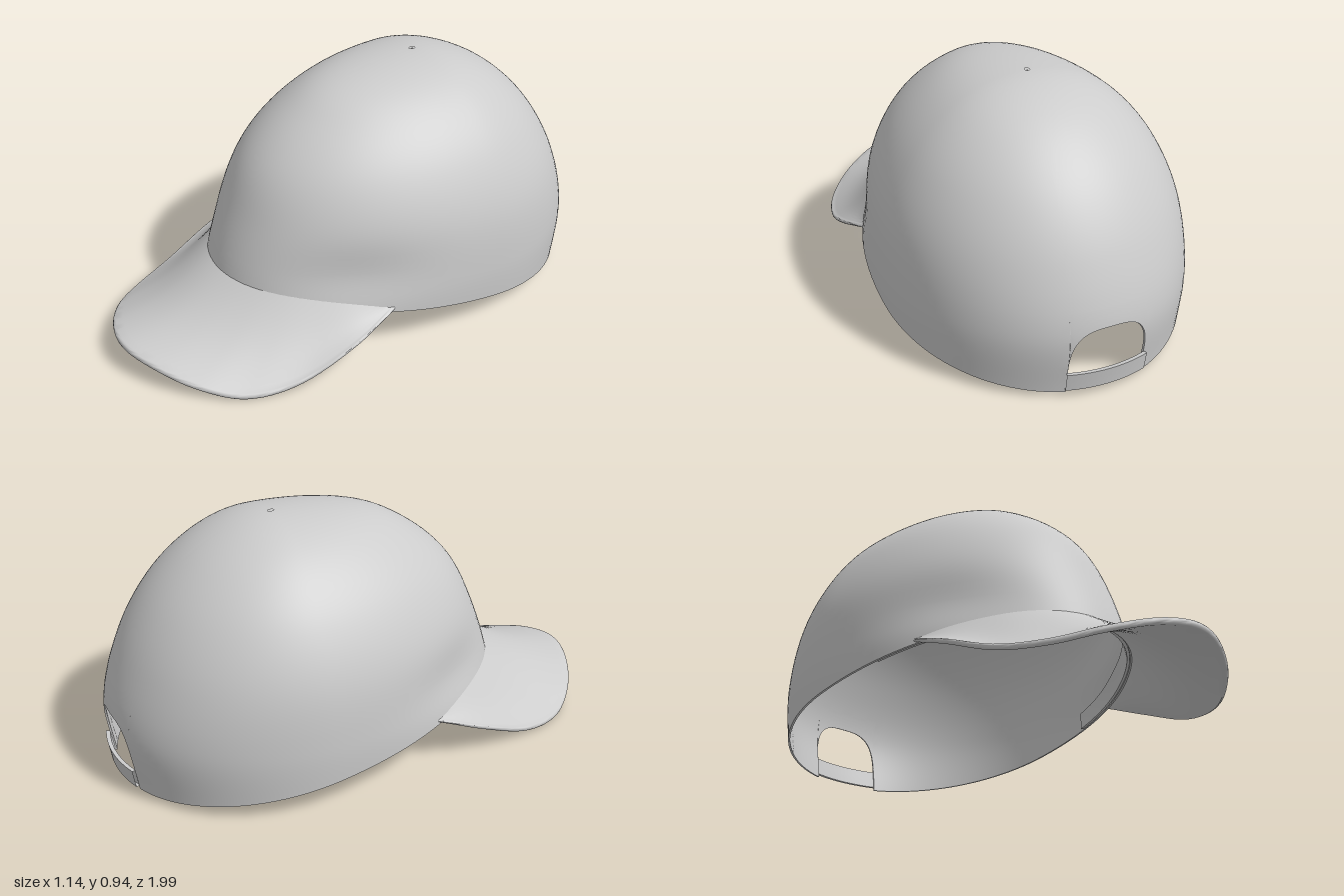
import * as THREE from 'three';
import { toCreasedNormals } from 'three/addons/utils/BufferGeometryUtils.js';

const TOP = 0.945, MID_Z = -0.33, HOLE = 0.265;
const material = new THREE.MeshStandardMaterial({ color: 0xcccccc, side: THREE.DoubleSide });
const V = (x, y, z) => new THREE.Vector3(x, y, z);
const range = (n, from, to) => Array.from({ length: n + 1 }, (_, i) => from + (to - from) * i / n);

// Smooth sheet from a list of cross-section paths of equal length
function sheet(name, sections) {
  const rows = sections[0].length, pos = [], index = [];
  sections.forEach(s => s.forEach(p => pos.push(p.x, p.y, p.z)));
  for (let j = 0; j < sections.length - 1; j++) {
    for (let i = 0; i < rows - 1; i++) {
      const a = j * rows + i, b = a + rows;
      index.push(a, b, b + 1, a, b + 1, a + 1);
    }
  }
  const g = new THREE.BufferGeometry();
  g.setAttribute('position', new THREE.Float32BufferAttribute(pos, 3));
  g.setIndex(index);
  const mesh = new THREE.Mesh(toCreasedNormals(g, 0.7), material);
  mesh.name = name;
  return mesh;
}

// Crown radii (side, front, back) at even steps from base to apex
const radii = new THREE.CatmullRomCurve3([
  V(0.56, 0.935, 0.636), V(0.57, 0.905, 0.664), V(0.546, 0.826, 0.6), V(0.465, 0.726, 0.49),
  V(0.343, 0.56, 0.342), V(0.192, 0.355, 0.172), V(0, 0, 0),
], false, 'catmullrom', 0.5);

const phiOf = y => Math.asin(y / TOP);

// Point on the crown: a = angle from the front, phi = elevation, off = outward offset
function crownPoint(a, phi, off = 0) {
  const r = radii.getPoint(phi / (Math.PI / 2));
  const y = TOP * Math.sin(phi);
  const turn = Math.abs(Math.atan2(Math.sin(a), Math.cos(a)));
  const dent = 1 - 0.04 * Math.exp(-(((turn - 0.85) / 0.35) ** 2) - ((y - 0.33) / 0.12) ** 2);
  const o = off * Math.cos(phi);
  return V(
    (r.x * dent + o) * Math.sin(a),
    y + off * Math.sin(phi),
    MID_Z + ((Math.cos(a) > 0 ? r.y : r.z) * dent + o) * Math.cos(a));
}

// Sloping lower edge of the crown
function rimY(a) {
  const c = Math.cos(a);
  return 0.01 + 0.155 * (MID_Z + (c > 0 ? 0.9 : 0.62) * c + 0.95);
}

// Crown shell with an arched opening at the back
function makeCrown() {
  const split = phiOf(0.34);
  const section = (a, y0) => {
    const phis = [...range(12, phiOf(y0), split), ...range(32, split, Math.PI / 2 - 0.012).slice(1)];
    return [
      ...phis.slice().reverse().map(p => crownPoint(a, p, -0.008)),
      ...phis.map(p => crownPoint(a, p)),
    ];
  };
  const arch = range(28, -Math.PI / 2, Math.PI / 2).map(t => {
    const d = Math.sin(t);
    const h = Math.cbrt(Math.max(0, 1 - Math.abs(d) ** 3));
    return section(Math.PI + HOLE * d, 0.09 + 0.18 * h);
  });
  const wall = range(100, HOLE - Math.PI, Math.PI - HOLE).map(a => section(a, rimY(a)));
  return sheet('crown', [...wall, ...arch, wall[0]]);
}

// Closed band that follows the crown between two heights
function makeBand(name, from, to, low, high, inner, outer) {
  return sheet(name, range(48, from, to).map(a => {
    const phis = range(4, phiOf(low(a)), phiOf(high(a)));
    const path = [
      ...phis.slice().reverse().map(p => crownPoint(a, p, inner)),
      ...phis.map(p => crownPoint(a, p, outer)),
    ];
    return [...path, path[0].clone()];
  }));
}

// Curved brim: lofted from the crown to a drooping outer edge
function makeBrim() {
  const half = [
    V(0.15, 0.1, 0.948), V(0.30, 0.059, 0.853), V(0.415, 0.025, 0.715),
    V(0.48, 0.045, 0.53), V(0.508, 0.128, 0.31), V(0.486, 0.2, 0.12),
  ];
  const edge = new THREE.CatmullRomCurve3([
    ...half.map(p => V(-p.x, p.y, p.z)).reverse(), V(0, 0.115, 0.986), ...half,
  ], false, 'catmullrom', 0.5);
  const sections = range(80, -1, 1).map(u => {
    const inner = crownPoint(u * 1.03, phiOf(0.272 - 0.068 * Math.abs(u) ** 3), -0.004);
    const outer = edge.getPoint((u + 1) / 2);
    const top = range(14, 0, 1).map(v => {
      const p = inner.clone().lerp(outer, v);
      p.y -= 0.034 * Math.sin(Math.PI * v) * (1 - u * u);
      return p;
    });
    const thick = 0.027 - 0.012 * u * u;
    const bottom = top.map(p => V(p.x, p.y - thick, p.z));
    // Rounded lip between the lower and upper faces
    const out = outer.clone().sub(inner).setY(0).normalize();
    const lip = range(6, -Math.PI / 2, Math.PI / 2).slice(1, -1).map(t => outer.clone()
      .addScaledVector(out, 0.012 * Math.cos(t))
      .add(V(0, thick * (Math.sin(t) - 1) / 2, 0)));
    return [...bottom, ...lip, ...top.reverse()];
  });
  return sheet('brim', sections);
}

export function createModel() {
  const cap = new THREE.Group();
  cap.name = 'cap';
  cap.add(
    makeCrown(),
    makeBrim(),
    makeBand('sweatband', -1.25, 1.25, a => rimY(a) + 0.004, a => rimY(a) + 0.07, -0.02, -0.009),
    makeBand('backStrap', Math.PI - HOLE * 1.03, Math.PI + HOLE * 1.03, () => 0.03, () => 0.1, -0.002, 0.014),
  );
  return cap;
}
